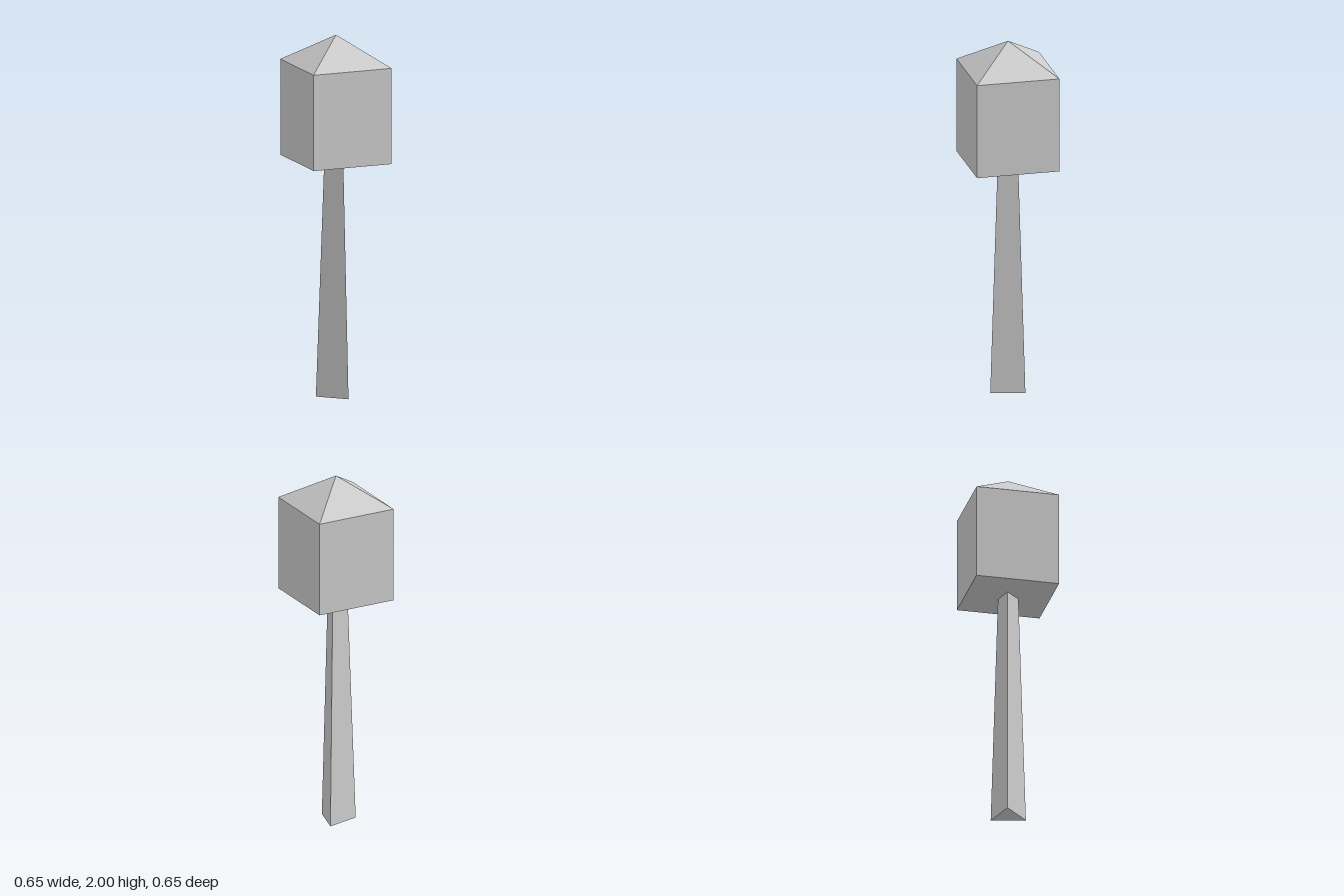
import * as THREE from 'three';

export function createModel() {
  const group = new THREE.Group();
  const grey = new THREE.MeshStandardMaterial({ color: 0xcccccc, flatShading: true });
  grey.name = 'light grey';

  const baseY = 1.31, eaveY = 1.84, topY = 2, radius = 0.325;

  function add(name, geometry, y = 0) {
    const mesh = new THREE.Mesh(geometry, grey);
    mesh.name = name;
    mesh.position.y = y;
    group.add(mesh);
  }

  // Three-sided tapering trunk, flat side to the front, one edge to the back
  add('trunk', new THREE.CylinderGeometry(0.064, 0.11, baseY, 3, 1, false, Math.PI), baseY / 2);

  // Square crown with a closed underside, corners on the x and z axes
  const profile = [[0, baseY], [radius, baseY], [radius, eaveY]].map(([x, y]) => new THREE.Vector2(x, y));
  add('crown', new THREE.LatheGeometry(profile, 4));

  // Pyramid on top of the crown
  add('crownTop', new THREE.ConeGeometry(radius, topY - eaveY, 4, 1, true), (eaveY + topY) / 2);

  return group;
}
